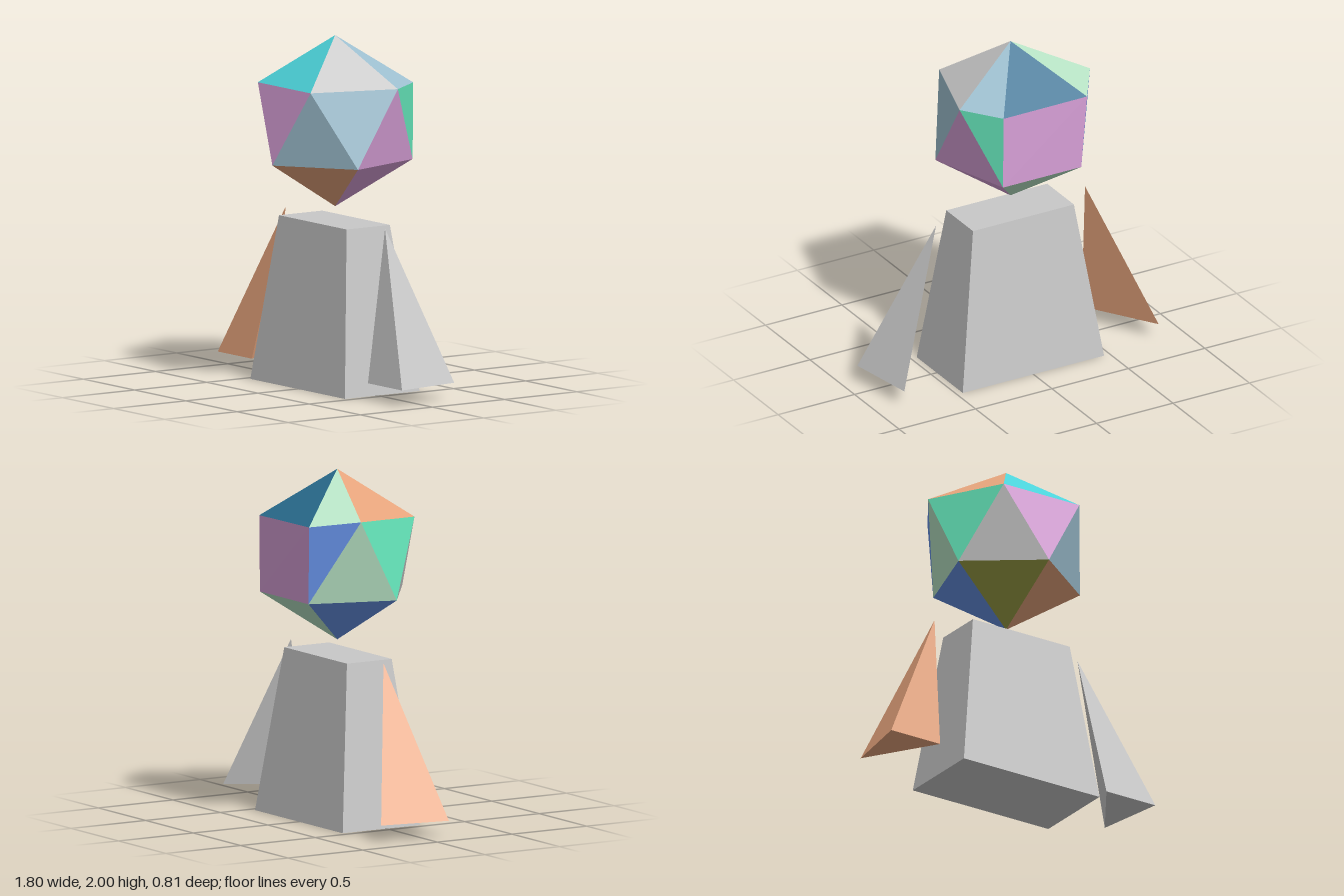
import * as THREE from 'three';

const palette = {
  gray: 0xc8c8c8, orange: 0xe6a47c, cyan: 0x4bd0d7, pink: 0xd8a0d8, paleBlue: 0x9ec0d0,
  green: 0x66e8bc, paleGreen: 0xb8e4c6, deepBlue: 0x2a6e90, blue: 0x6a98f0, olive: 0x9fa346,
};

// Flat-faced geometry from named corners; each face is turned away from the centre.
function facets(corners, faces, centre) {
  const positions = [];
  for (const face of faces) {
    const [a, b, c] = face.split(' ').map((k) => new THREE.Vector3(...corners[k]));
    const normal = b.clone().sub(a).cross(c.clone().sub(a));
    const outward = a.clone().add(b).add(c).divideScalar(3).sub(centre);
    const order = normal.dot(outward) > 0 ? [a, b, c] : [a, c, b];
    order.forEach((v) => positions.push(v.x, v.y, v.z));
  }
  const geometry = new THREE.BufferGeometry();
  geometry.setAttribute('position', new THREE.Float32BufferAttribute(positions, 3));
  geometry.computeVertexNormals();
  return geometry;
}

export function createModel() {
  const model = new THREE.Group();
  model.name = 'figure';
  const materials = {};
  for (const [name, color] of Object.entries(palette)) {
    materials[name] = new THREE.MeshStandardMaterial({ color });
    materials[name].name = name;
  }
  const add = (parent, name, geometry, colour) => {
    const mesh = new THREE.Mesh(geometry, materials[colour]);
    mesh.name = name;
    parent.add(mesh);
  };

  // Body: a box tapering towards the top
  const body = new THREE.BoxGeometry(1, 1, 1).toNonIndexed();
  const p = body.attributes.position;
  for (let i = 0; i < p.count; i++) {
    const top = p.getY(i) > 0;
    const x = Math.sign(p.getX(i)) * (top ? 0.33 : 0.462);
    const z = p.getZ(i) > 0 ? (top ? 0.12 : 0.225) : (top ? -0.18 : -0.292);
    p.setXYZ(i, x, top ? 0.943 : 0, z);
  }
  body.computeVertexNormals();
  add(model, 'body', body, 'gray');

  // Arms: mirrored slender tetrahedra
  for (const [side, name, colour] of [[1, 'leftArm', 'gray'], [-1, 'rightArm', 'orange']]) {
    const corners = {
      tip: [side * 0.487, 0.955, -0.035],
      outer: [side * 0.9, 0.095, 0.14],
      inner: [side * 0.567, 0.095, 0.14],
      back: [side * 0.832, 0.095, -0.27],
    };
    const faces = ['tip outer inner', 'tip outer back', 'tip inner back', 'outer inner back'];
    add(model, name, facets(corners, faces, new THREE.Vector3(side * 0.7, 0.31, 0)), colour);
  }

  // Head: faceted ball with six upper corners and five lower ones
  const corners = {
    T: [0, 2, -0.035], B: [0, 1.022, -0.035],
    U0: [-0.255, 1.73, 0.32], U1: [0.26, 1.73, 0.32], U2: [0.415, 1.73, -0.175],
    U3: [0.255, 1.73, -0.395], U4: [-0.285, 1.738, -0.405], U5: [-0.447, 1.768, -0.16],
    L0: [0, 1.292, 0.4], L1: [0.413, 1.292, 0.1], L2: [0.256, 1.292, -0.39],
    L3: [-0.256, 1.292, -0.39], L4: [-0.415, 1.292, 0.1],
  };
  const headFaces = {
    gray: ['T U1 U2', 'U0 L0 L4'],
    orange: ['T U5 U0', 'B L0 L1'],
    cyan: ['T U0 U1'],
    pink: ['U0 U1 L0', 'U2 L1 L2', 'B L1 L2', 'U3 U4 L2', 'U4 L2 L3'],
    paleBlue: ['U1 L0 L1', 'U1 U2 L1', 'T U2 U3'],
    green: ['U0 U5 L4', 'U2 U3 L2'],
    paleGreen: ['T U4 U5', 'U5 L3 L4', 'B L2 L3'],
    deepBlue: ['T U3 U4'],
    blue: ['U4 U5 L3', 'B L3 L4'],
    olive: ['B L4 L0'],
  };
  const head = new THREE.Group();
  head.name = 'head';
  model.add(head);
  const centre = new THREE.Vector3(0, 1.51, -0.03);
  for (const [colour, faces] of Object.entries(headFaces)) {
    add(head, `${colour}HeadFaces`, facets(corners, faces, centre), colour);
  }
  return model;
}
